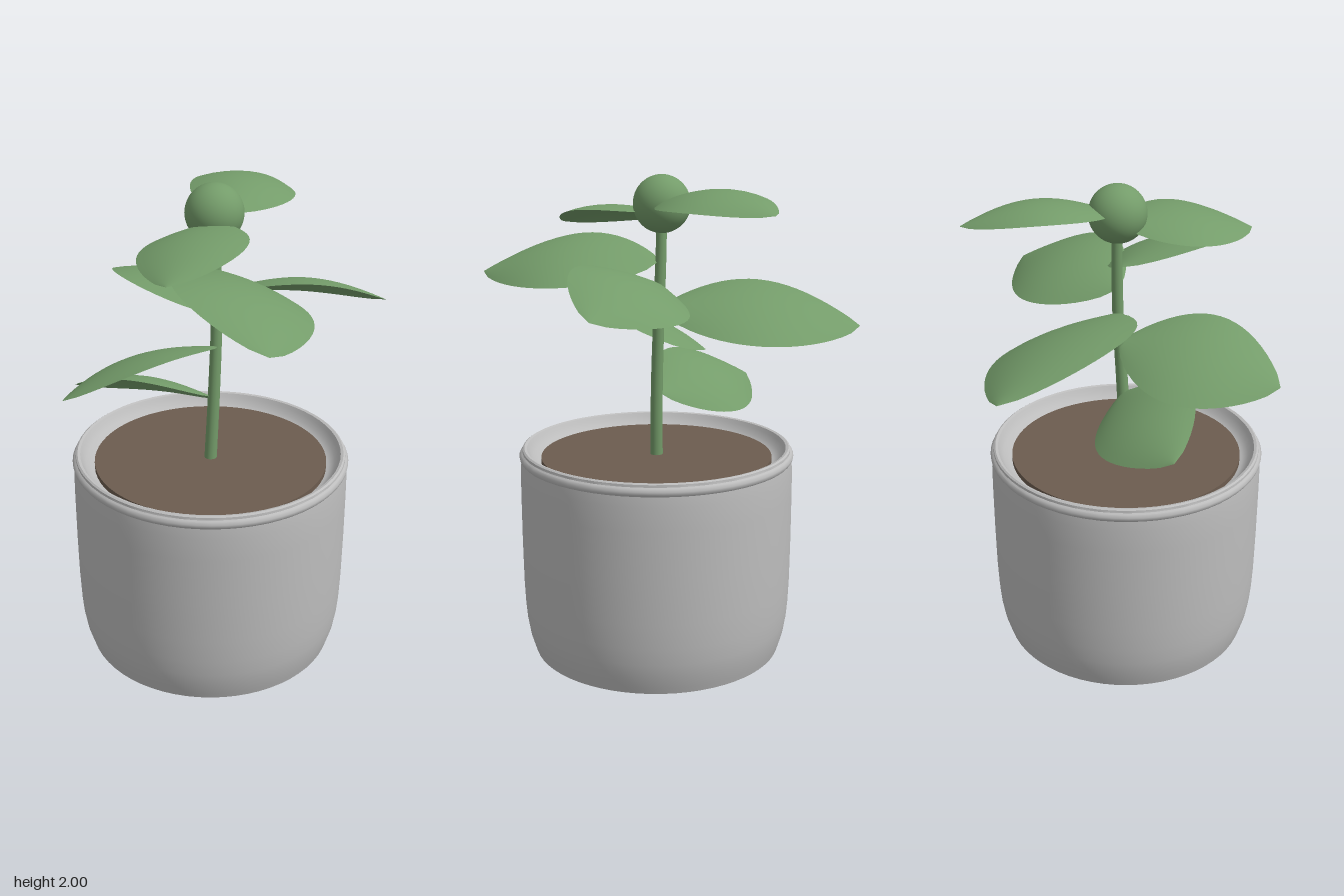
import * as THREE from 'three';
import { toCreasedNormals } from 'three/addons/utils/BufferGeometryUtils.js';

const glaze = new THREE.MeshStandardMaterial({ name: 'greyGlaze', color: 0xbdbdbd });
const earth = new THREE.MeshStandardMaterial({ name: 'brownSoil', color: 0x6c5c4f });
const green = new THREE.MeshStandardMaterial({ name: 'leafGreen', color: 0x749c6a });
const leafFace = new THREE.MeshStandardMaterial({ name: 'leafGreenTwoSided', color: 0x749c6a, side: THREE.DoubleSide });

const V = (x, y, z) => new THREE.Vector3(x, y, z);

function part(name, geometry, material) {
  const mesh = new THREE.Mesh(geometry, material);
  mesh.name = name;
  return mesh;
}

// Arched, domed blade from base to tip; roll > 0 lifts its right edge
function leafGeometry({ base, tip, half, arch, cup, roll }) {
  const dir = tip.clone().sub(base);
  const length = dir.length();
  dir.normalize();
  const side = dir.clone().cross(V(0, 1, 0)).normalize().applyAxisAngle(dir, -roll);
  // make sure the sign of the roll lifts the right edge
  if (side.y * roll < 0) side.applyAxisAngle(dir, 2 * roll);
  const normal = side.clone().cross(dir);

  const geometry = new THREE.PlaneGeometry(2, 1, 10, 20);
  const pos = geometry.attributes.position;
  for (let i = 0; i < pos.count; i++) {
    const v = pos.getX(i);
    const t = pos.getY(i) + 0.5;
    const width = Math.pow(Math.max(0, Math.sin(Math.PI * Math.pow(t, 0.95))), 0.75);
    const lift = arch * Math.sin(Math.PI * t) - cup * v * v * width;
    const p = base.clone()
      .addScaledVector(dir, length * t)
      .addScaledVector(side, half * width * v)
      .addScaledVector(normal, lift);
    pos.setXYZ(i, p.x, p.y, p.z);
  }
  geometry.computeVertexNormals();
  return geometry;
}

export function createModel() {
  const model = new THREE.Group();
  model.name = 'pottedPlant';

  // Pot: base, rounded wall, rim bead, inner slope down to the soil
  const profile = [
    [0, 0], [0.5, 0.008], [0.522, 0.014], [0.53, 0.04], [0.545, 0.09], [0.555, 0.15],
    [0.561, 0.22], [0.565, 0.32], [0.567, 0.5], [0.567, 0.7], [0.566, 0.8], [0.562, 0.842],
    [0.568, 0.85], [0.57, 0.862], [0.564, 0.873], [0.557, 0.878], [0.556, 0.888], [0.549, 0.893],
    [0.538, 0.89], [0.53, 0.875], [0.515, 0.85], [0.49, 0.83], [0.465, 0.825],
  ].map(([r, y]) => new THREE.Vector2(r, y));
  const pot = part('pot', toCreasedNormals(new THREE.LatheGeometry(profile, 64), 0.7), glaze);
  pot.position.set(-0.013, 0, 0.055);
  model.add(pot);

  // Soil disc
  const soil = part('soil', new THREE.CylinderGeometry(0.48, 0.48, 0.03, 64), earth);
  soil.position.set(-0.013, 0.835, 0.055);
  model.add(soil);

  // Stem, slightly bowed and tapering upwards
  const path = new THREE.CatmullRomCurve3([
    V(-0.013, 0.83, 0.055), V(0.004, 1.15, 0.052), V(0.018, 1.45, 0.042), V(0.018, 1.7, 0.033), V(0.013, 1.88, 0.03),
  ]);
  const segments = 24, sides = 12;
  const stemGeometry = new THREE.TubeGeometry(path, segments, 0.026, sides);
  const pos = stemGeometry.attributes.position;
  for (let i = 0; i < pos.count; i++) {
    const u = Math.floor(i / (sides + 1)) / segments;
    const centre = path.getPointAt(u);
    const p = V(0, 0, 0).fromBufferAttribute(pos, i).sub(centre).multiplyScalar(1 - 0.2 * u).add(centre);
    pos.setXYZ(i, p.x, p.y, p.z);
  }
  model.add(part('stem', stemGeometry, green));

  // Round bud on top
  const bud = part('bud', new THREE.SphereGeometry(0.115, 32, 24), green);
  bud.position.set(0.013, 1.885, 0.03);
  model.add(bud);

  // Leaves
  const leaves = {
    backLeaf: { base: V(0.02, 1.47, 0.04), tip: V(0, 1.4, -0.77), half: 0.29, arch: 0.075, cup: 0.05, roll: -0.32 },
    frontLeaf: { base: V(0.02, 1.66, 0.04), tip: V(-0.1, 1.6, 0.77), half: 0.275, arch: 0.08, cup: 0.05, roll: 0.3 },
    leftLeaf: { base: V(0.02, 1.57, 0.04), tip: V(0.655, 1.52, 0.26), half: 0.24, arch: 0.07, cup: 0.04, roll: 0.4 },
    rightLeaf: { base: V(0.015, 1.34, 0.045), tip: V(-0.66, 1.27, 0.155), half: 0.25, arch: 0.07, cup: 0.04, roll: -0.41 },
    upperBackLeaf: { base: V(0.02, 1.89, 0.03), tip: V(0.44, 1.875, -0.4), half: 0.21, arch: 0.07, cup: 0.05, roll: -0.1 },
    upperFrontLeaf: { base: V(0.02, 1.85, 0.03), tip: V(-0.35, 1.78, 0.455), half: 0.21, arch: 0.05, cup: 0.04, roll: -0.15 },
    lowerLeaf: { base: V(0, 1.12, 0.05), tip: V(-0.47, 1.1, -0.325), half: 0.22, arch: 0.06, cup: 0.04, roll: -0.52 },
  };
  for (const [name, spec] of Object.entries(leaves)) model.add(part(name, leafGeometry(spec), leafFace));

  return model;
}
